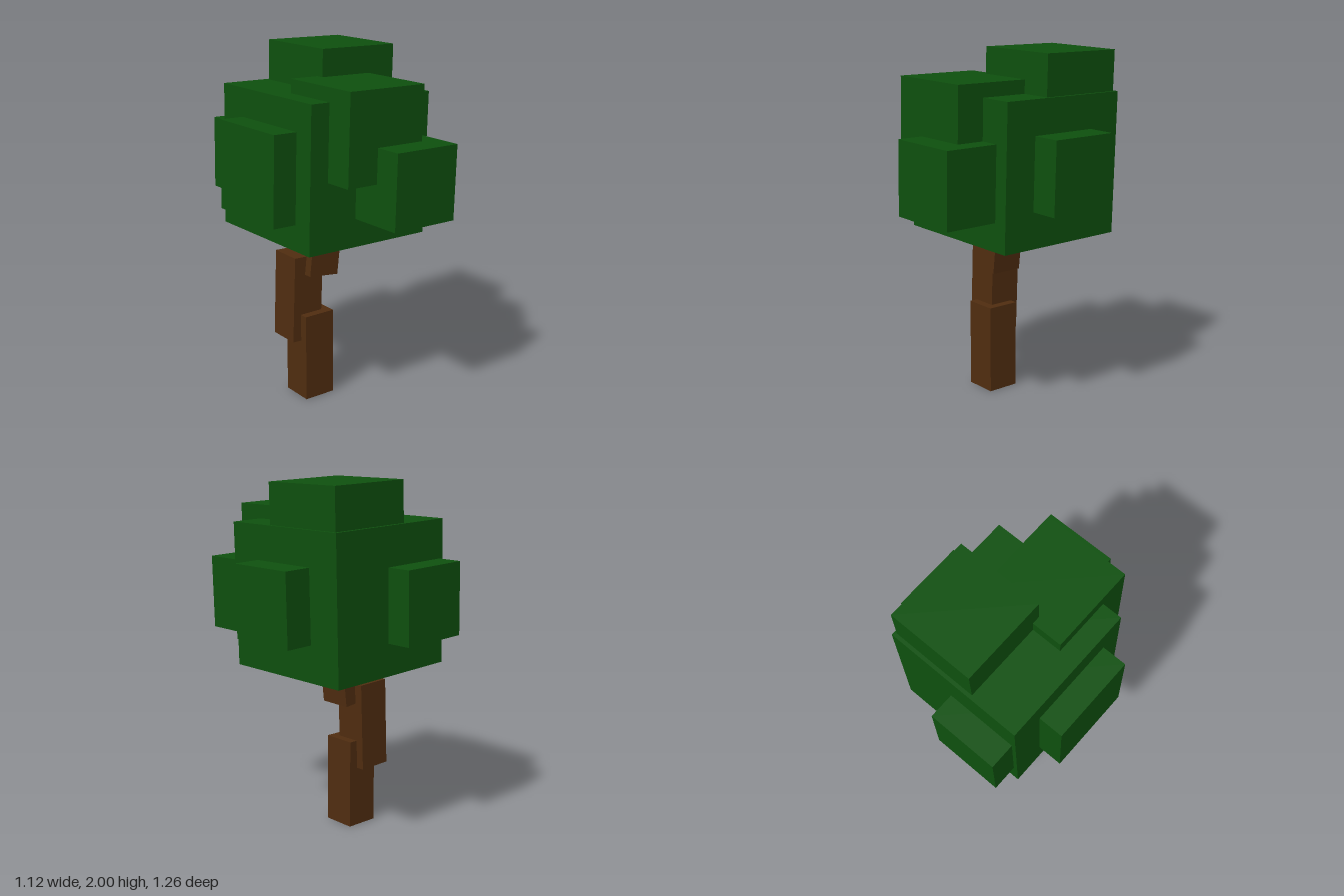
import * as THREE from 'three';

const deg = THREE.MathUtils.degToRad;

export function createModel() {
  const tree = new THREE.Group();
  tree.name = 'tree';

  const leaf = new THREE.MeshStandardMaterial({ color: 0x0e500e });
  leaf.name = 'leaf green';
  const bark = new THREE.MeshStandardMaterial({ color: 0x502d10 });
  bark.name = 'bark brown';

  const block = (parent, name, material, size, position, yaw = 0, roll = 0) => {
    const mesh = new THREE.Mesh(new THREE.BoxGeometry(...size), material);
    mesh.name = name;
    mesh.position.set(...position);
    mesh.rotation.set(0, deg(yaw), deg(roll));
    parent.add(mesh);
  };

  // Crooked trunk: three overlapping posts, each leaning a little more
  const trunk = new THREE.Group();
  trunk.name = 'trunk';
  tree.add(trunk);
  block(trunk, 'trunkBase', bark, [0.19, 0.51, 0.19], [-0.145, 0.255, -0.05]);
  block(trunk, 'trunkMiddle', bark, [0.19, 0.5, 0.19], [-0.19, 0.6, -0.098], 0, -2.2);
  block(trunk, 'trunkTop', bark, [0.19, 0.5, 0.19], [-0.087, 0.983, -0.048], 0, -6.5);

  // Leaf cubes: a big core with smaller cubes sunk into its faces, all tilted alike
  const crown = new THREE.Group();
  crown.name = 'crown';
  tree.add(crown);
  const cubes = [
    ['crownCore', 0.8, -0.01, 1.37, -0.09],
    ['topLeaves', 0.495, 0.132, 1.745, -0.226],
    ['upperFrontLeaves', 0.495, -0.034, 1.6, 0.228],
    ['lowerFrontLeaves', 0.415, 0.114, 1.333, 0.417],
    ['leftLeaves', 0.405, 0.347, 1.367, -0.096],
    ['rightLeaves', 0.495, -0.302, 1.37, -0.052],
    ['backLeaves', 0.405, -0.193, 1.356, -0.427],
  ];
  for (const [name, s, x, y, z] of cubes) {
    block(crown, name, leaf, [s, s, s], [x, y, z], 1.5, -1.5);
  }

  return tree;
}
